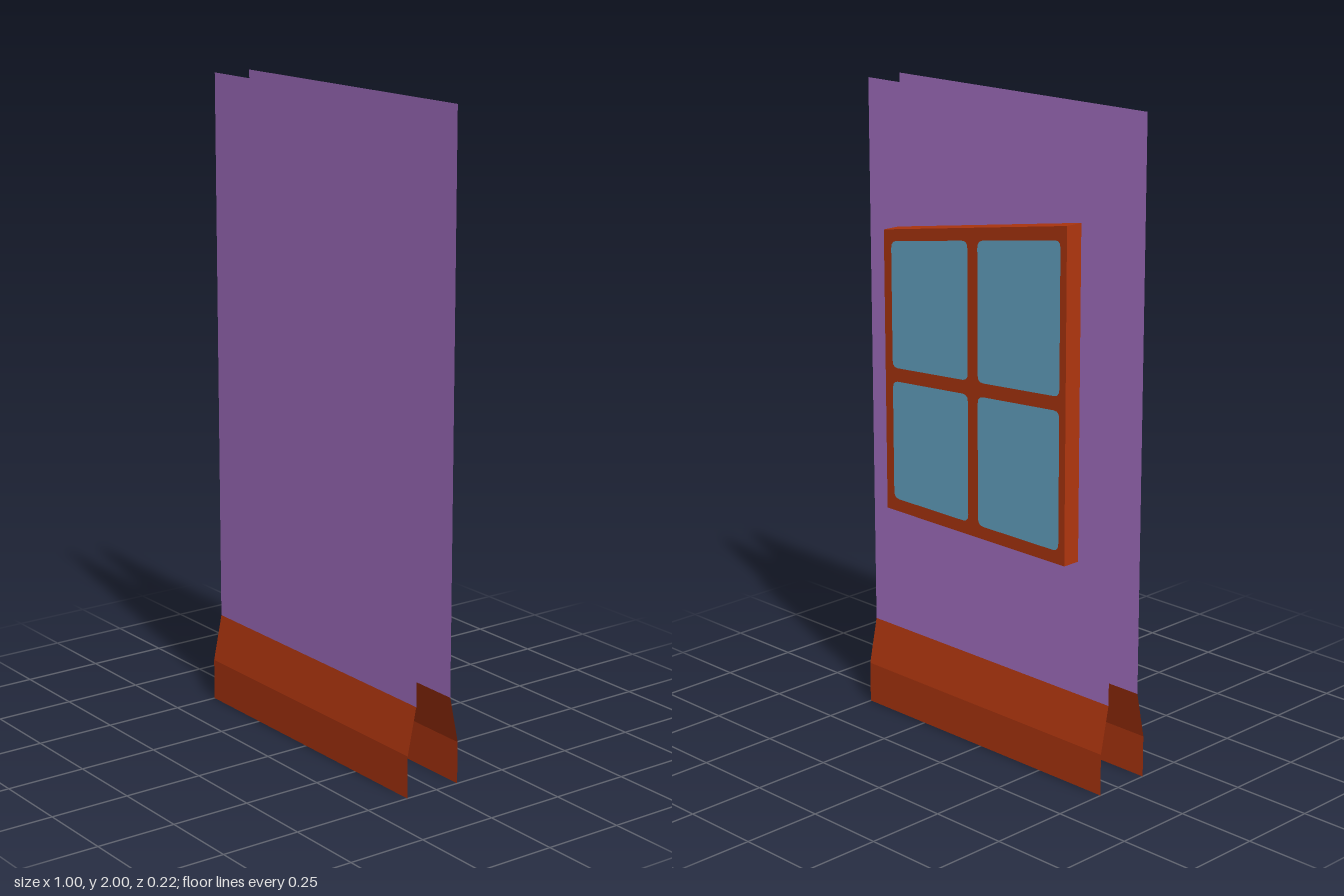
import * as THREE from 'three';

const material = (name, color, side = THREE.FrontSide) => {
  const m = new THREE.MeshStandardMaterial({ color, side });
  m.name = name;
  return m;
};

const named = (name, geometry, mat) => {
  const mesh = new THREE.Mesh(geometry, mat);
  mesh.name = name;
  return mesh;
};

// Polygon with clipped corners, used for panes
function clippedShape(corners, cut) {
  const shape = new THREE.Shape();
  corners.forEach((corner, i) => {
    const c = new THREE.Vector2(...corner);
    const prev = new THREE.Vector2(...corners[(i + 3) % 4]);
    const next = new THREE.Vector2(...corners[(i + 1) % 4]);
    const a = c.clone().add(prev.sub(c).setLength(cut));
    const b = c.clone().add(next.sub(c).setLength(cut));
    if (i === 0) shape.moveTo(a.x, a.y);
    else shape.lineTo(a.x, a.y);
    shape.quadraticCurveTo(c.x, c.y, b.x, b.y);
  });
  shape.closePath();
  return shape;
}

export function createModel() {
  const plaster = material('purple plaster', 0xac76cc, THREE.DoubleSide);
  const board = material('skirting wood', 0xb3370f, THREE.DoubleSide);
  const wood = material('window wood', 0xb3370f);
  wood.copy(board);
  const glass = material('blue glass', 0x69accd, THREE.DoubleSide);

  const skirtTop = 0.275;

  // One wall sheet with a flared, open skirting board, facing local +z
  function wallPanel(name) {
    const panel = new THREE.Group();
    panel.name = name;

    const sheet = new THREE.PlaneGeometry(1, 2 - skirtTop);
    sheet.translate(0, (2 + skirtTop) / 2, 0);
    panel.add(named('wallSheet', sheet, plaster));

    const rows = [[skirtTop, 0], [0.13, 0.03], [0, 0.03]];
    for (let i = 0; i < 2; i++) {
      const [[y0, z0], [y1, z1]] = [rows[i], rows[i + 1]];
      const strip = new THREE.PlaneGeometry(1, 1);
      const p = strip.attributes.position;
      for (let k = 0; k < 4; k++) {
        p.setY(k, k < 2 ? y0 : y1);
        p.setZ(k, k < 2 ? z0 : z1);
      }
      strip.computeVertexNormals();
      panel.add(named(i ? 'skirtingFace' : 'skirtingSlope', strip, board));
    }
    return panel;
  }

  // Crooked window, lower on its left side as seen from outside
  function crookedWindow() {
    const win = new THREE.Group();
    win.name = 'window';
    const outline = new THREE.Shape([
      [-0.375, 0.69], [0.375, 0.69], [0.375, 1.69], [-0.375, 1.565],
    ].map(([x, y]) => new THREE.Vector2(x, y)));
    const frame = new THREE.ExtrudeGeometry(outline, { depth: 0.058, bevelEnabled: false });
    frame.translate(0, 0, 0.002);
    win.add(named('windowFrame', frame, board));

    // Slanted edges of the panes
    const topY = (x) => 1.59 + x * 0.16;
    const barY = (x) => 1.148 + x * 0.07;
    for (const [x0, x1] of [[-0.342, -0.018], [0.023, 0.352]]) {
      const lower = [[x0, 0.73], [x1, 0.73], [x1, barY(x1) - 0.021], [x0, barY(x0) - 0.021]];
      const upper = [[x0, barY(x0) + 0.021], [x1, barY(x1) + 0.021], [x1, topY(x1)], [x0, topY(x0)]];
      for (const corners of [lower, upper]) {
        const pane = new THREE.ShapeGeometry(clippedShape(corners, 0.022), 3);
        pane.translate(0, 0, 0.0615);
        win.add(named('windowPane', pane, glass));
      }
    }
    return win;
  }

  const model = new THREE.Group();
  model.name = 'wallSection';

  const front = wallPanel('frontWall');
  front.position.z = 0.078;

  const back = wallPanel('backWall');
  back.add(crookedWindow());
  back.rotation.y = Math.PI;
  back.position.z = -0.048;

  model.add(front, back);
  return model;
}
